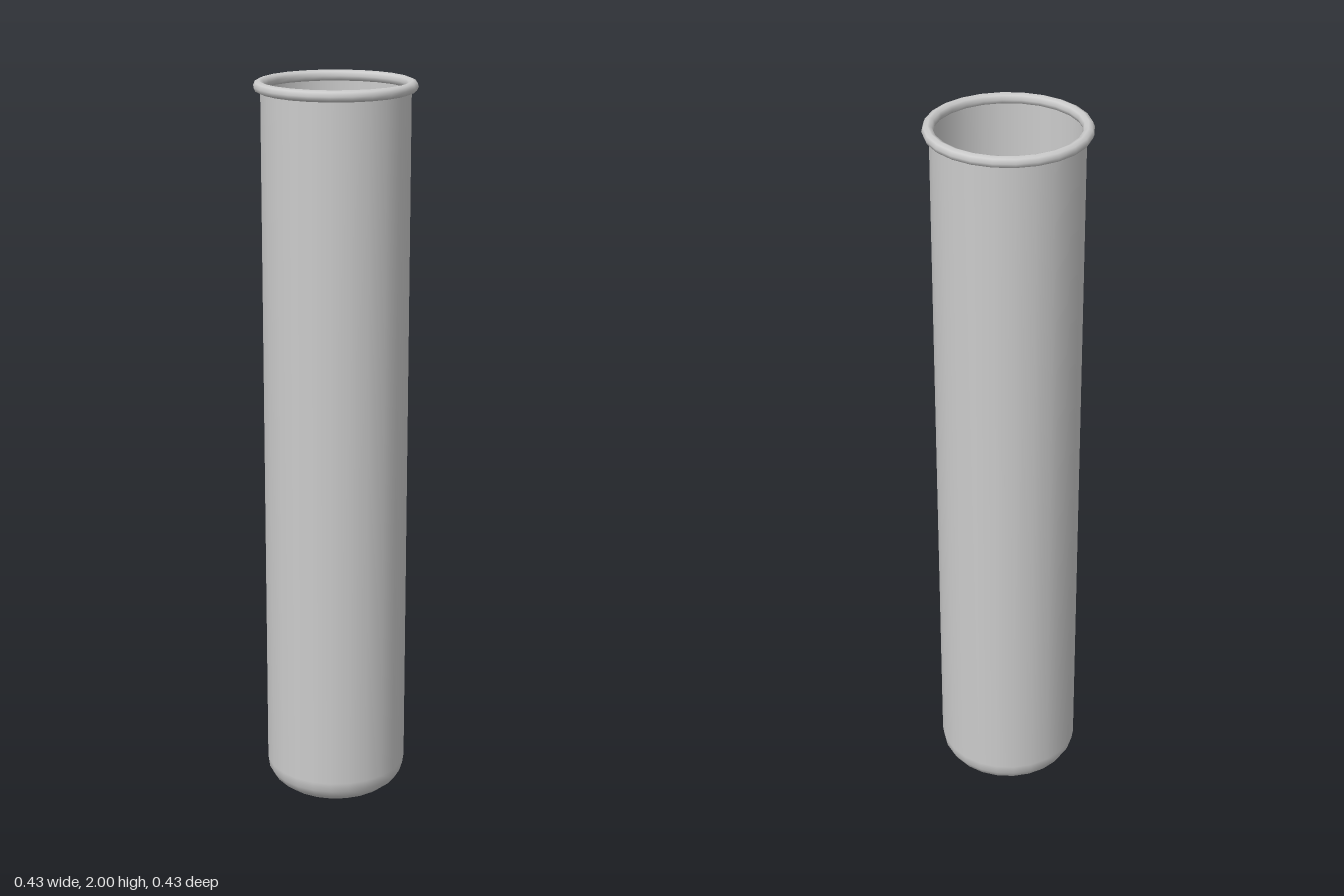
import * as THREE from 'three';

const SIDES = 24;

export function createModel() {
  const model = new THREE.Group();
  model.name = 'testTube';
  const material = new THREE.MeshStandardMaterial({ color: 0xcccccc, side: THREE.DoubleSide });

  // Thin open tube with a shallow domed bottom and rounded lower edge
  const profile = [
    [0, 0], [0.07, 0.003], [0.13, 0.01], [0.157, 0.019],
    [0.178, 0.036], [0.191, 0.058], [0.195, 0.085], [0.195, 1.985],
  ].map(([r, y]) => new THREE.Vector2(r, y));
  const tube = new THREE.Mesh(new THREE.LatheGeometry(profile, SIDES), material);
  tube.name = 'tube';
  model.add(tube);

  // Rolled lip around the mouth
  const lipGeometry = new THREE.TorusGeometry(0.198, 0.015, 8, SIDES);
  lipGeometry.rotateX(Math.PI / 2);
  const lip = new THREE.Mesh(lipGeometry, material);
  lip.name = 'lip';
  lip.position.y = 1.985;
  model.add(lip);

  return model;
}
